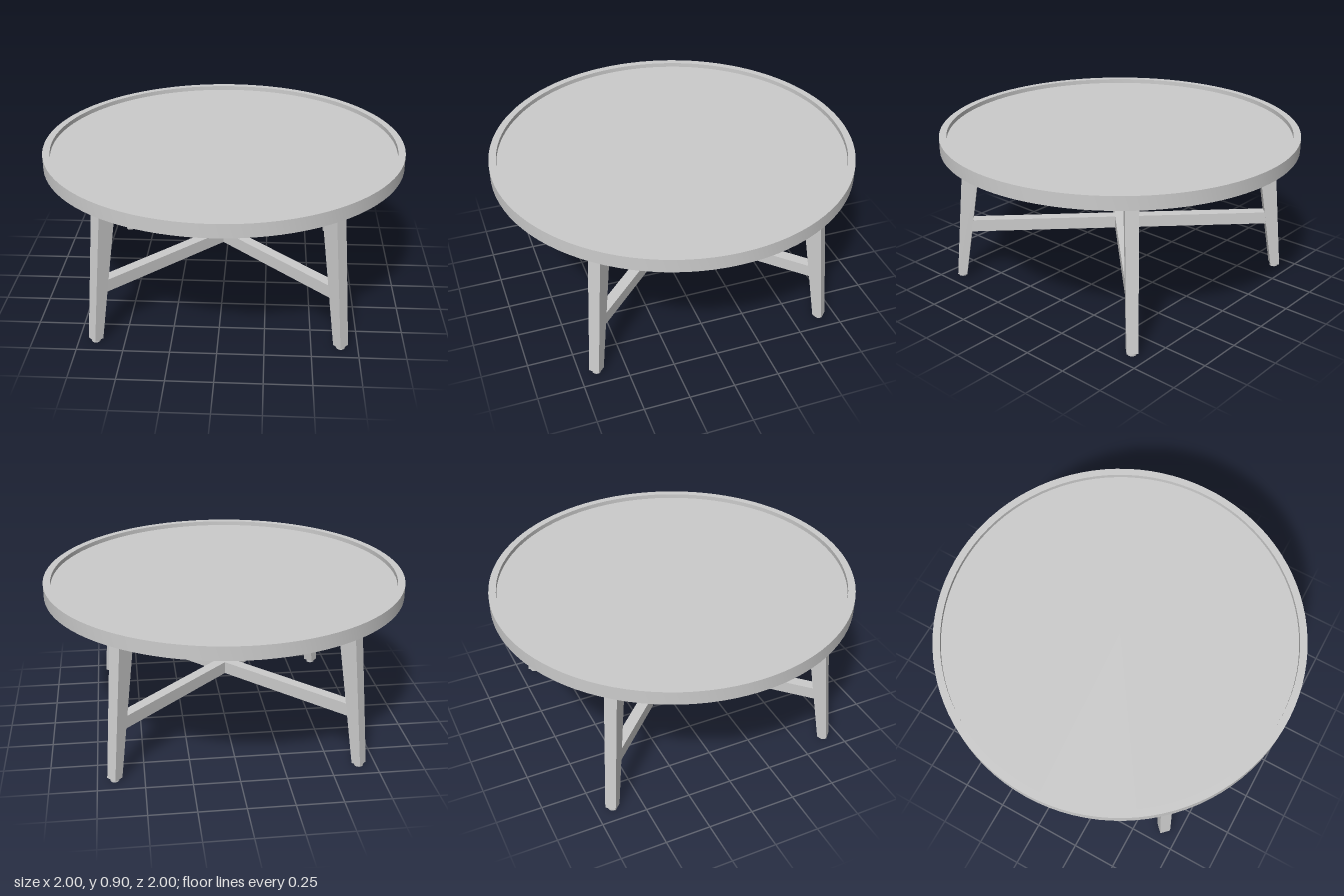
import * as THREE from 'three';
import { toCreasedNormals } from 'three/addons/utils/BufferGeometryUtils.js';

const TOP_Y = 0.9, UNDER_Y = 0.825, FOOT_H = 0.015;

// Box running from y0 to y1, tapered: each end gives inner radius, outer radius and width
function taperedLeg(y0, y1, low, high) {
  const geo = new THREE.BoxGeometry(1, 1, 1);
  const p = geo.attributes.position;
  for (let i = 0; i < p.count; i++) {
    const up = p.getY(i) > 0;
    const end = up ? high : low;
    p.setXYZ(i, p.getX(i) > 0 ? end.outer : end.inner, up ? y1 : y0, p.getZ(i) * end.width);
  }
  geo.computeVertexNormals();
  return geo;
}

export function createModel() {
  const model = new THREE.Group();
  model.name = 'roundTrayTable';
  const grey = new THREE.MeshStandardMaterial({ color: 0xcccccc });
  grey.name = 'lightGrey';

  const add = (parent, name, geo) => {
    const mesh = new THREE.Mesh(geo, grey);
    mesh.name = name;
    parent.add(mesh);
    return mesh;
  };

  // Round top with a raised rim around a shallow recess
  const profile = [
    [0, UNDER_Y], [1, UNDER_Y], [1, TOP_Y],
    [0.96, TOP_Y], [0.96, TOP_Y - 0.025], [0, TOP_Y - 0.025],
  ].map(([r, y]) => new THREE.Vector2(r, y));
  add(model, 'trayTop', toCreasedNormals(new THREE.LatheGeometry(profile, 96), 0.6));

  // Four splayed legs on the diagonals, each with a small round foot
  const legGeo = taperedLeg(FOOT_H, UNDER_Y,
    { inner: 0.904, outer: 0.957, width: 0.06 },
    { inner: 0.772, outer: 0.877, width: 0.07 });
  const footGeo = new THREE.CylinderGeometry(0.024, 0.024, FOOT_H, 20);
  for (let i = 0; i < 4; i++) {
    const corner = new THREE.Group();
    corner.name = 'legAssembly' + (i + 1);
    corner.rotation.y = Math.PI / 4 + i * Math.PI / 2;
    add(corner, 'leg', legGeo);
    add(corner, 'foot', footGeo).position.set(0.93, FOOT_H / 2, 0);
    model.add(corner);
  }

  // Crossed stretchers joining opposite legs: one whole bar and two half bars
  const cross = new THREE.Group();
  cross.name = 'crossStretchers';
  cross.position.y = 0.325;
  cross.rotation.y = Math.PI / 4;
  const reach = 0.87, bar = 0.06, barH = 0.07;
  add(cross, 'longStretcher', new THREE.BoxGeometry(reach * 2, barH, bar));
  for (const side of [-1, 1]) {
    const length = reach - bar / 2;
    add(cross, 'halfStretcher', new THREE.BoxGeometry(bar, barH, length))
      .position.z = side * (bar / 2 + length / 2);
  }
  model.add(cross);

  return model;
}
